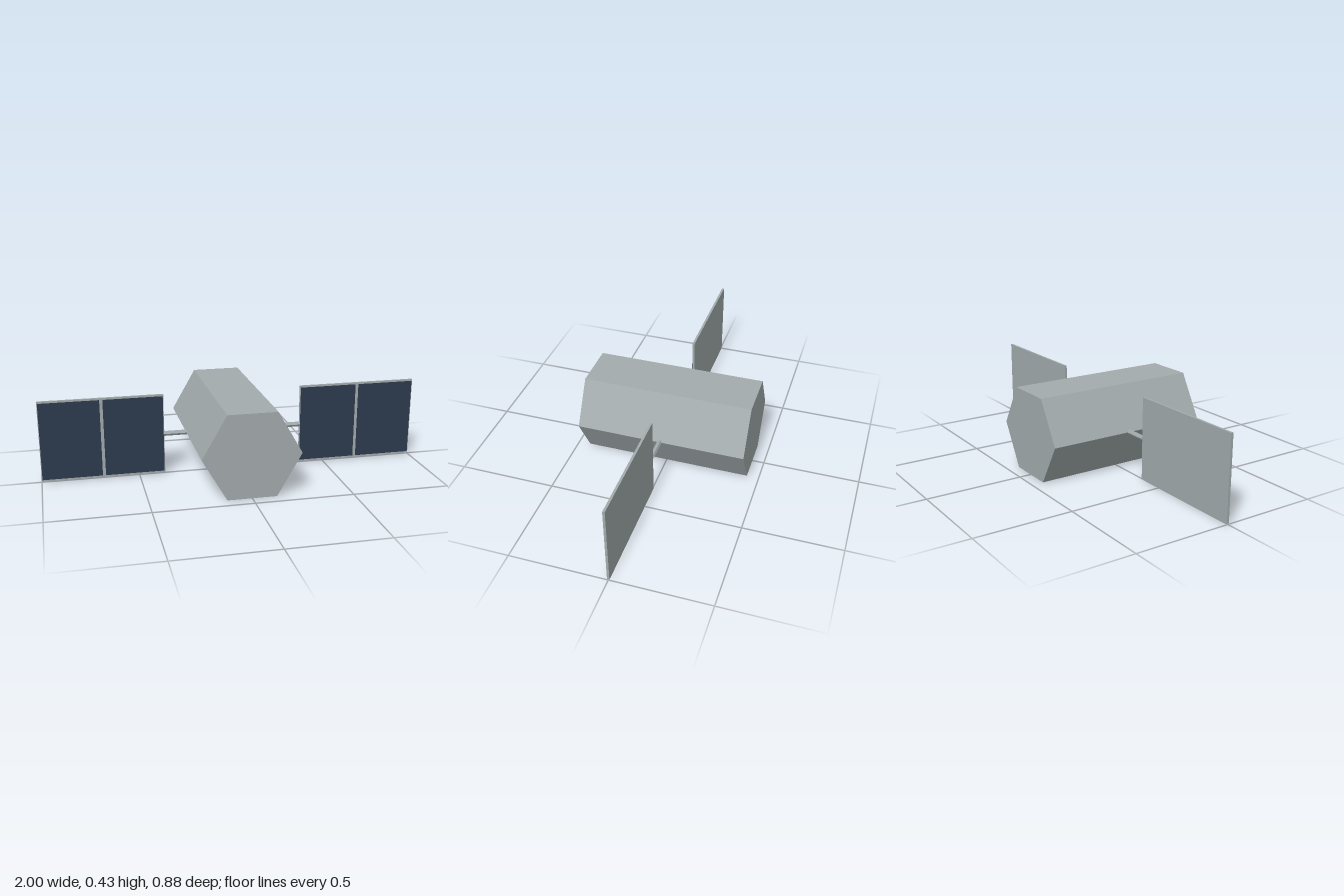
import * as THREE from 'three';

export function createModel() {
  const group = new THREE.Group();
  const hull = new THREE.MeshStandardMaterial({ color: 0xa3abad, flatShading: true });
  hull.name = 'hull grey';
  const solar = new THREE.MeshStandardMaterial({ color: 0x2c3a4d, flatShading: true });
  solar.name = 'solar blue';

  const R = 0.25;
  const midY = R * Math.sqrt(3) / 2;

  const add = (parent, name, geometry, material, x, y, z) => {
    const mesh = new THREE.Mesh(geometry, material);
    mesh.name = name;
    mesh.position.set(x, y, z);
    parent.add(mesh);
    return mesh;
  };

  // Hexagonal prism lying along z, flat side down, corners at +-x
  const bodyGeo = new THREE.CylinderGeometry(R, R, 0.875, 6);
  bodyGeo.rotateY(Math.PI / 6).rotateX(Math.PI / 2);
  bodyGeo.rotateZ(Math.PI / 2 - Math.atan2(
    bodyGeo.attributes.position.getY(0), bodyGeo.attributes.position.getX(0)) - Math.PI / 2);
  add(group, 'body', bodyGeo, hull, 0, midY, 0);

  // Matching wing on each side: strut, panel and two cells on the front
  const x0 = 0.365, x1 = 1, panelW = x1 - x0, panelX = (x0 + x1) / 2;
  const cellW = 0.306, gap = 0.016;
  for (const side of [1, -1]) {
    const wing = new THREE.Group();
    wing.name = side > 0 ? 'leftWing' : 'rightWing';
    group.add(wing);

    const strutGeo = new THREE.CylinderGeometry(0.013, 0.013, 0.155, 6);
    strutGeo.rotateZ(Math.PI / 2);
    add(wing, 'strut', strutGeo, hull, side * 0.2895, midY, 0);

    add(wing, 'panel', new THREE.BoxGeometry(panelW, 0.425, 0.012), hull, side * panelX, midY, 0);

    for (const s of [-1, 1]) {
      add(wing, 'solarCell', new THREE.BoxGeometry(cellW, 0.406, 0.002), solar,
        side * panelX + s * (gap + cellW) / 2, midY, 0.0065);
    }
  }
  return group;
}
